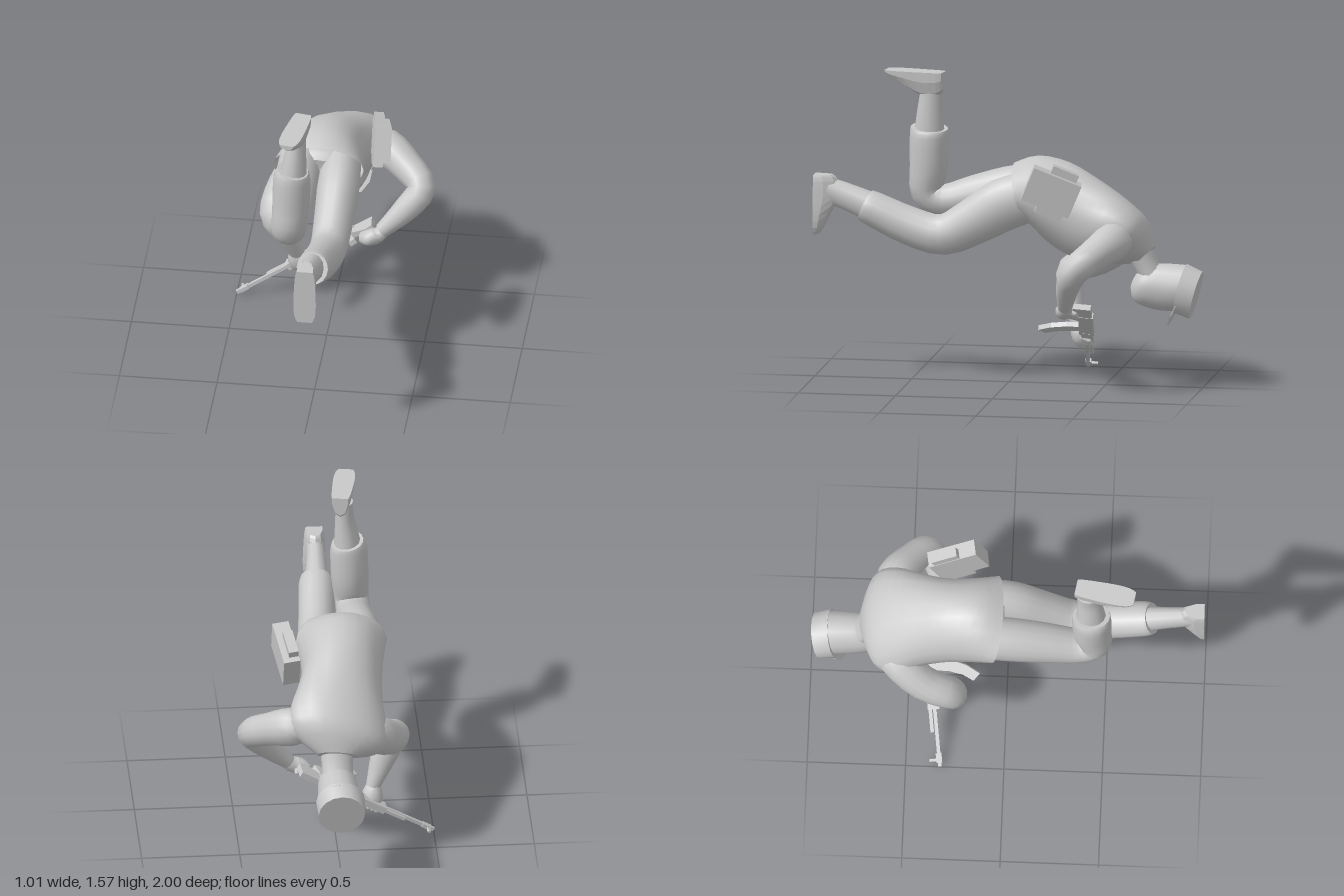
import * as THREE from 'three';

const grey = new THREE.MeshStandardMaterial({ color: 0xc8c8c8, side: THREE.DoubleSide });
grey.name = 'plain grey';
const V = (x, y, z) => new THREE.Vector3(x, y, z);

function add(parent, name, geometry) {
  const mesh = new THREE.Mesh(geometry, grey);
  mesh.name = name;
  parent.add(mesh);
  return mesh;
}

// Catmull-Rom smoothing of rows of numbers
function refine(rows, steps) {
  const out = [];
  const at = i => rows[Math.max(0, Math.min(rows.length - 1, i))];
  for (let i = 0; i < rows.length - 1; i++) {
    for (let s = 0; s < steps; s++) {
      const t = s / steps;
      out.push(rows[i].map((p1, k) => {
        const p0 = at(i - 1)[k], p2 = at(i + 1)[k], p3 = at(i + 2)[k];
        return 0.5 * (2 * p1 + (p2 - p0) * t + (2 * p0 - 5 * p1 + 4 * p2 - p3) * t * t
          + (3 * p1 - p0 - 3 * p2 + p3) * t * t * t);
      }));
    }
  }
  out.push(rows[rows.length - 1]);
  return out;
}

// Skin over elliptical rings { c, a, b }, with flat end caps
function skin(rings, sides, capStart = true) {
  const pos = [], idx = [];
  const ring = r => {
    const start = pos.length / 3;
    for (let j = 0; j < sides; j++) {
      const t = j / sides * Math.PI * 2;
      const p = r.c.clone().addScaledVector(r.a, Math.cos(t)).addScaledVector(r.b, Math.sin(t));
      pos.push(p.x, p.y, p.z);
    }
    return start;
  };
  rings.forEach(ring);
  const n = rings.length;
  const along = rings[n - 1].c.clone().sub(rings[0].c);
  const mid = rings[n >> 1];
  const flip = mid.a.clone().cross(mid.b).dot(along) < 0;
  const tri = (a, b, c) => flip ? idx.push(a, c, b) : idx.push(a, b, c);
  for (let i = 0; i < n - 1; i++) for (let j = 0; j < sides; j++) {
    const k = (j + 1) % sides, p = i * sides, q = p + sides;
    tri(p + j, p + k, q + k);
    tri(p + j, q + k, q + j);
  }
  const cap = (r, end) => {
    const s = ring(r);
    for (let j = 1; j < sides - 1; j++) end ? tri(s, s + j, s + j + 1) : tri(s, s + j + 1, s + j);
  };
  if (capStart) cap(rings[0], false);
  cap(rings[n - 1], true);
  const g = new THREE.BufferGeometry();
  g.setAttribute('position', new THREE.Float32BufferAttribute(pos, 3));
  g.setIndex(idx);
  g.computeVertexNormals();
  return g;
}

// Rows: x, y, z, half width sideways, half depth; rings stand across the path
function limb(rows, sides = 14, steps = 3) {
  const s = refine(rows, steps), p = s.map(r => V(r[0], r[1], r[2]));
  return skin(s.map((r, i) => {
    const t = p[Math.min(i + 1, p.length - 1)].clone().sub(p[Math.max(i - 1, 0)]).normalize();
    const side = V(1, 0, 0).addScaledVector(t, -t.x).normalize();
    return { c: p[i], a: side.clone().multiplyScalar(r[3]), b: t.cross(side).multiplyScalar(r[4]) };
  }), sides);
}

// Rows: x, half width, upper y, z, lower y, z, rise of the left side
function hull(rows, sides = 16, steps = 3, capStart = true) {
  return skin(refine(rows, steps).map(([x, w, ty, tz, by, bz, rise = 0]) => ({
    c: V(x, (ty + by) / 2, (tz + bz) / 2), a: V(w, rise, 0), b: V(0, (ty - by) / 2, (tz - bz) / 2),
  })), sides, capStart);
}

function slab(outline, depth) {
  return new THREE.ExtrudeGeometry(new THREE.Shape(outline.map(([x, y]) => new THREE.Vector2(x, y))),
    { depth, bevelEnabled: false }).translate(0, 0, -depth / 2);
}

function buildBody(g) {
  add(g, 'jacket', hull([
    [-0.05, 0.232, 1.13, -0.02, 0.84, -0.1, 0], [-0.045, 0.215, 1.17, -0.14, 0.74, -0.19, 0],
    [-0.035, 0.205, 1.145, -0.3, 0.67, -0.29, 0.01], [-0.015, 0.22, 1.07, -0.45, 0.63, -0.4, 0.035],
    [0.0, 0.25, 0.965, -0.61, 0.63, -0.5, 0.07], [0.01, 0.23, 0.86, -0.72, 0.635, -0.6, 0.06],
    [0.02, 0.1, 0.73, -0.755, 0.645, -0.67, 0.01]], 20, 3, false));
  add(g, 'trouserSeat', hull([
    [-0.05, 0.19, 1.11, -0.16, 0.82, -0.2], [-0.05, 0.2, 1.1, -0.06, 0.83, -0.1],
    [-0.05, 0.17, 1.06, -0.015, 0.85, -0.04]], 16));

  // Neck, head and cap
  add(g, 'neck', limb([[0.02, 0.74, -0.66, 0.09, 0.07], [0.02, 0.65, -0.705, 0.08, 0.062],
    [0.02, 0.57, -0.75, 0.08, 0.06]]));
  add(g, 'head', hull([
    [0.02, 0.015, 0.55, -0.64, 0.52, -0.632], [0.02, 0.06, 0.6, -0.67, 0.475, -0.638],
    [0.02, 0.093, 0.64, -0.73, 0.433, -0.67], [0.02, 0.104, 0.645, -0.83, 0.405, -0.76],
    [0.02, 0.11, 0.64, -0.93, 0.4, -0.86]]));
  add(g, 'cap', hull([[0.015, 0.125, 0.645, -0.918, 0.392, -0.852],
    [0.015, 0.118, 0.607, -1, 0.362, -0.935]], 16, 1));
  const brim = add(g, 'capBrim', slab([[-0.11, 0.06], [-0.1, 0.0], [-0.06, -0.055], [0, -0.07],
    [0.06, -0.055], [0.1, 0], [0.11, 0.06]], 0.006));
  brim.position.set(0.015, 0.39, -0.852);
  brim.rotation.x = -0.45;
}

function buildArms(g) {
  add(g, 'leftArm', limb([
    [0.13, 0.8, -0.6, 0.06, 0.06], [0.235, 0.79, -0.58, 0.095, 0.098], [0.35, 0.735, -0.5, 0.083, 0.085],
    [0.434, 0.667, -0.415, 0.073, 0.075], [0.36, 0.565, -0.365, 0.065, 0.06],
    [0.24, 0.445, -0.33, 0.04, 0.038]]));
  add(g, 'rightArm', limb([
    [-0.1, 0.75, -0.6, 0.06, 0.06], [-0.18, 0.72, -0.565, 0.088, 0.095], [-0.27, 0.615, -0.42, 0.088, 0.09],
    [-0.295, 0.545, -0.275, 0.083, 0.075], [-0.25, 0.43, -0.28, 0.068, 0.06],
    [-0.19, 0.275, -0.325, 0.036, 0.036]]));
  add(g, 'leftHand', limb([
    [0.26, 0.46, -0.335, 0.026, 0.028], [0.225, 0.425, -0.325, 0.04, 0.038],
    [0.18, 0.41, -0.315, 0.042, 0.045], [0.135, 0.395, -0.33, 0.022, 0.03]], 10));
  add(g, 'rightHand', limb([
    [-0.2, 0.3, -0.32, 0.028, 0.028], [-0.19, 0.255, -0.33, 0.05, 0.045],
    [-0.185, 0.205, -0.345, 0.052, 0.045], [-0.18, 0.17, -0.36, 0.03, 0.025]], 10));
  // Curled fingers
  for (let i = 0; i < 4; i++) {
    const l = add(g, 'leftFinger', new THREE.CapsuleGeometry(0.013, 0.04, 3, 8));
    l.position.set(0.145 + i * 0.018, 0.385 + i * 0.008, -0.355);
    l.rotation.x = 1.2;
    const r = add(g, 'rightFinger', new THREE.CapsuleGeometry(0.013, 0.04, 3, 8));
    r.position.set(-0.205 + i * 0.02, 0.18 + i * 0.01, -0.37);
    r.rotation.x = 1.2;
  }
}

function buildLegs(g) {
  // Left leg stretches back, right leg is bent with its sole up
  add(g, 'leftTrouserLeg', limb([
    [0.06, 0.98, -0.12, 0.1, 0.13], [0.062, 0.93, 0.02, 0.108, 0.135], [0.058, 0.84, 0.17, 0.102, 0.12],
    [0.05, 0.765, 0.33, 0.095, 0.105], [0.035, 0.8, 0.5, 0.092, 0.1], [0.022, 0.88, 0.69, 0.09, 0.09],
    [0.018, 0.9, 0.735, 0.08, 0.084]], 16));
  add(g, 'rightTrouserLeg', limb([
    [-0.15, 0.99, -0.12, 0.108, 0.125], [-0.15, 0.97, 0.03, 0.11, 0.12],
    [-0.147, 0.935, 0.2, 0.102, 0.105], [-0.145, 0.905, 0.36, 0.09, 0.085],
    [-0.14, 0.95, 0.445, 0.088, 0.085], [-0.13, 1.08, 0.435, 0.095, 0.098],
    [-0.125, 1.24, 0.432, 0.095, 0.1], [-0.12, 1.285, 0.43, 0.08, 0.096]], 16));
  add(g, 'leftBoot', limb([[0.02, 0.88, 0.68, 0.065, 0.078], [0.015, 0.92, 0.78, 0.055, 0.072],
    [0.01, 0.955, 0.88, 0.048, 0.068], [0.01, 0.975, 0.95, 0.046, 0.066]], 12));
  add(g, 'rightBoot', limb([[-0.12, 1.24, 0.43, 0.072, 0.08], [-0.11, 1.36, 0.425, 0.058, 0.068],
    [-0.102, 1.45, 0.418, 0.047, 0.06], [-0.1, 1.53, 0.415, 0.045, 0.06]], 12));

  // Feet: a toe profile with a flat sole, swept from heel to toe
  const foot = (name, place) => {
    const profile = refine([[0, 0.04, 0.1], [0.03, 0.047, 0.125], [0.11, 0.052, 0.13], [0.2, 0.055, 0.085],
      [0.27, 0.05, 0.05], [0.305, 0.035, 0.025]], 2);
    const pos = [], idx = [];
    for (const [l, w, h] of profile) {
      for (const [u, v] of [[-1, 0], [-0.95, 0.4], [-0.6, 0.85], [0, 1], [0.6, 0.85], [0.95, 0.4], [1, 0]]) {
        pos.push(u * w, v * h, l);
      }
    }
    const n = 7, last = (profile.length - 1) * n;
    for (let i = 0; i < profile.length - 1; i++) for (let j = 0; j < n; j++) {
      const k = (j + 1) % n, p = i * n, q = p + n;
      idx.push(p + j, q + k, p + k, p + j, q + j, q + k);
    }
    for (let j = 1; j < n - 1; j++) idx.push(0, j, j + 1, last, last + j + 1, last + j);
    let geo = new THREE.BufferGeometry();
    geo.setAttribute('position', new THREE.Float32BufferAttribute(pos, 3));
    geo.setIndex(idx);
    geo = geo.toNonIndexed();
    geo.computeVertexNormals();
    place(add(g, name, geo));
  };
  foot('leftFoot', m => { m.rotation.x = Math.PI / 2; m.position.set(0.01, 1.05, 1); m.scale.set(1.05, -1, 1); });
  foot('rightFoot', m => { m.rotation.y = -0.17; m.position.set(-0.075, 1.58, 0.35); m.scale.y = -1; });
}

function buildPouch(g) {
  const pouch = new THREE.Group();
  pouch.name = 'hipPouch';
  pouch.position.set(0.243, 1.04, -0.26);
  pouch.rotation.set(-0.39, 0.18, -0.07, 'YXZ');
  add(pouch, 'pouchBox', new THREE.BoxGeometry(0.085, 0.18, 0.26)).position.x = 0.005;
  add(pouch, 'pouchStrap', new THREE.BoxGeometry(0.05, 0.26, 0.14)).position.set(-0.01, 0, -0.03);
  g.add(pouch);
}

function buildRifle(g) {
  // Local x runs from muzzle to stock, local y toward the magazine
  const rifle = new THREE.Group();
  rifle.name = 'rifle';
  const d = V(0.7, 0.43, -0.1).normalize();
  const m = V(0, 0.02, 1).addScaledVector(d, -V(0, 0.02, 1).dot(d)).normalize();
  rifle.quaternion.setFromRotationMatrix(new THREE.Matrix4().makeBasis(d, m, d.clone().cross(m)));
  rifle.position.set(-0.5, 0.015, -0.325);
  const box = (name, x0, x1, y0, y1, w) => add(rifle, name, new THREE.BoxGeometry(x1 - x0, y1 - y0, w))
    .position.set((x0 + x1) / 2, (y0 + y1) / 2, 0);
  box('barrel', 0, 0.36, -0.009, 0.009, 0.018);
  box('gasTube', 0.18, 0.36, -0.032, -0.014, 0.016);
  box('frontSight', 0.028, 0.042, -0.05, 0, 0.012);
  box('sightBase', 0.02, 0.07, -0.016, 0.014, 0.02);
  box('handguard', 0.3, 0.48, -0.035, 0.025, 0.036);
  box('receiver', 0.46, 0.7, -0.04, 0.035, 0.034);
  add(rifle, 'stock', slab([[0.68, -0.035], [0.81, -0.03], [0.81, 0.06], [0.77, 0.07], [0.68, 0.03]], 0.03));
  add(rifle, 'grip', slab([[0.64, 0.03], [0.68, 0.03], [0.71, 0.11], [0.675, 0.12]], 0.026));
  add(rifle, 'magazine', slab([[0.5, 0.02], [0.49, 0.09], [0.465, 0.16], [0.43, 0.21], [0.465, 0.245],
    [0.515, 0.18], [0.55, 0.1], [0.56, 0.02]], 0.026));
  g.add(rifle);
}

export function createModel() {
  const g = new THREE.Group();
  g.name = 'crouchingFigure';
  [buildBody, buildArms, buildLegs, buildPouch, buildRifle].forEach(build => build(g));
  return g;
}
